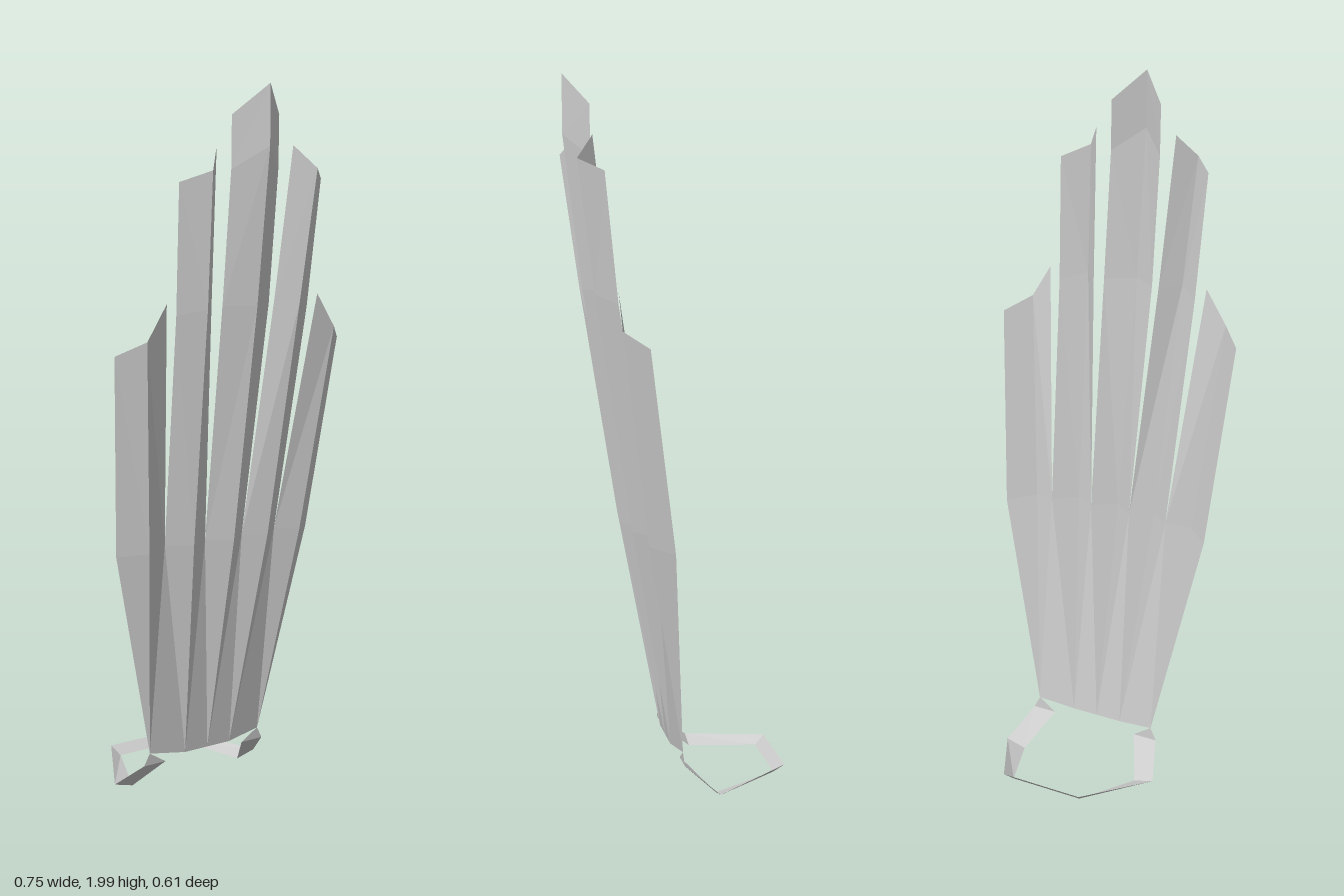
import * as THREE from 'three';

const material = new THREE.MeshStandardMaterial({ color: 0xcccccc, flatShading: true, side: THREE.DoubleSide });

// Sheet through rows of points; a one-point row acts as an apex. side = -1 mirrors in x.
function sheet(name, rows, side = 1) {
  const pos = [];
  const tri = (a, b, c) => {
    for (const p of side > 0 ? [a, b, c] : [a, c, b]) pos.push(p[0] * side, p[1], p[2]);
  };
  for (let i = 0; i + 1 < rows.length; i++) {
    const lower = rows[i], upper = rows[i + 1];
    for (let j = 0; j + 1 < upper.length; j++) {
      if (lower.length === 1) {
        tri(lower[0], upper[j + 1], upper[j]);
      } else {
        tri(lower[j], lower[j + 1], upper[j + 1]);
        tri(lower[j], upper[j + 1], upper[j]);
      }
    }
  }
  const geometry = new THREE.BufferGeometry();
  geometry.setAttribute('position', new THREE.Float32BufferAttribute(pos, 3));
  geometry.computeVertexNormals();
  const mesh = new THREE.Mesh(geometry, material);
  mesh.name = name;
  return mesh;
}

export function createModel() {
  const model = new THREE.Group();
  model.name = 'featherHeaddress';

  // Feather roots, and the valleys where neighbouring feathers part
  const root0 = [0, 0.12, 0.022], root1 = [0.078, 0.12, 0.022], root2 = [0.19, 0.135, 0.008];
  const valley1 = [0.063, 0.76, 0.1], valley2 = [0.188, 0.76, 0.086];
  const flip = ([x, y, z]) => [-x, y, z];

  // Centre feather: each row is left edge, raised ridge, right edge
  const symmetric = (edge, ridgeY, ridgeZ) => [flip(edge), [0, ridgeY, ridgeZ], edge];
  model.add(sheet('centreFeather', [
    [root0],
    symmetric(valley1, 0.76, 0.15),
    symmetric([0.077, 1.42, 0.2], 1.42, 0.252),
    symmetric([0.077, 1.78, 0.238], 1.84, 0.303),
    symmetric([0.077, 1.92, 0.24], 2.0, 0.303),
  ]));

  for (const side of [1, -1]) {
    const prefix = side > 0 ? 'left' : 'right';
    const add = (name, rows) => model.add(sheet(prefix + name, rows, side));

    // Side feathers: rows run inner edge, ridge, outer edge
    add('MiddleFeather', [
      [root1],
      [valley1, [0.126, 0.76, 0.138], valley2],
      [[0.104, 1.42, 0.188], [0.152, 1.42, 0.24], [0.217, 1.4, 0.188]],
      [[0.125, 1.84, 0.24], [0.17, 1.78, 0.288], [0.232, 1.75, 0.225]],
    ]);
    add('OuterFeather', [
      [root2],
      [valley2, [0.257, 0.75, 0.115], [0.326, 0.74, 0.055]],
      [[0.25, 1.435, 0.193], [0.311, 1.34, 0.193], [0.373, 1.3, 0.131]],
    ]);

    // Webs joining the feathers at their roots
    add('InnerWeb', [[valley1], [root0, root1]]);
    add('OuterWeb', [[valley2], [root1, root2]]);

    // Head band arm, with a small tab up to the outer feather
    const frontIn = [0.135, 0.1, 0.006], frontOut = [0.208, 0.1, 0.006];
    add('BandTab', [[root2], [frontIn, frontOut]]);
    add('BandArm', [
      [frontOut, frontIn],
      [[0.248, 0.024, -0.088], [0.188, 0.008, -0.088]],
      [[0.125, 0.05, -0.304], [0.11, 0.025, -0.275]],
    ]);
  }

  // Back of the head band
  model.add(sheet('bandBack', [
    [[0.125, 0.05, -0.304], [0.11, 0.025, -0.275]],
    [[-0.125, 0.05, -0.304], [-0.11, 0.025, -0.275]],
  ]));

  // Stand on the ground
  const box = new THREE.Box3().setFromObject(model);
  for (const part of model.children) part.position.y -= box.min.y;
  return model;
}
